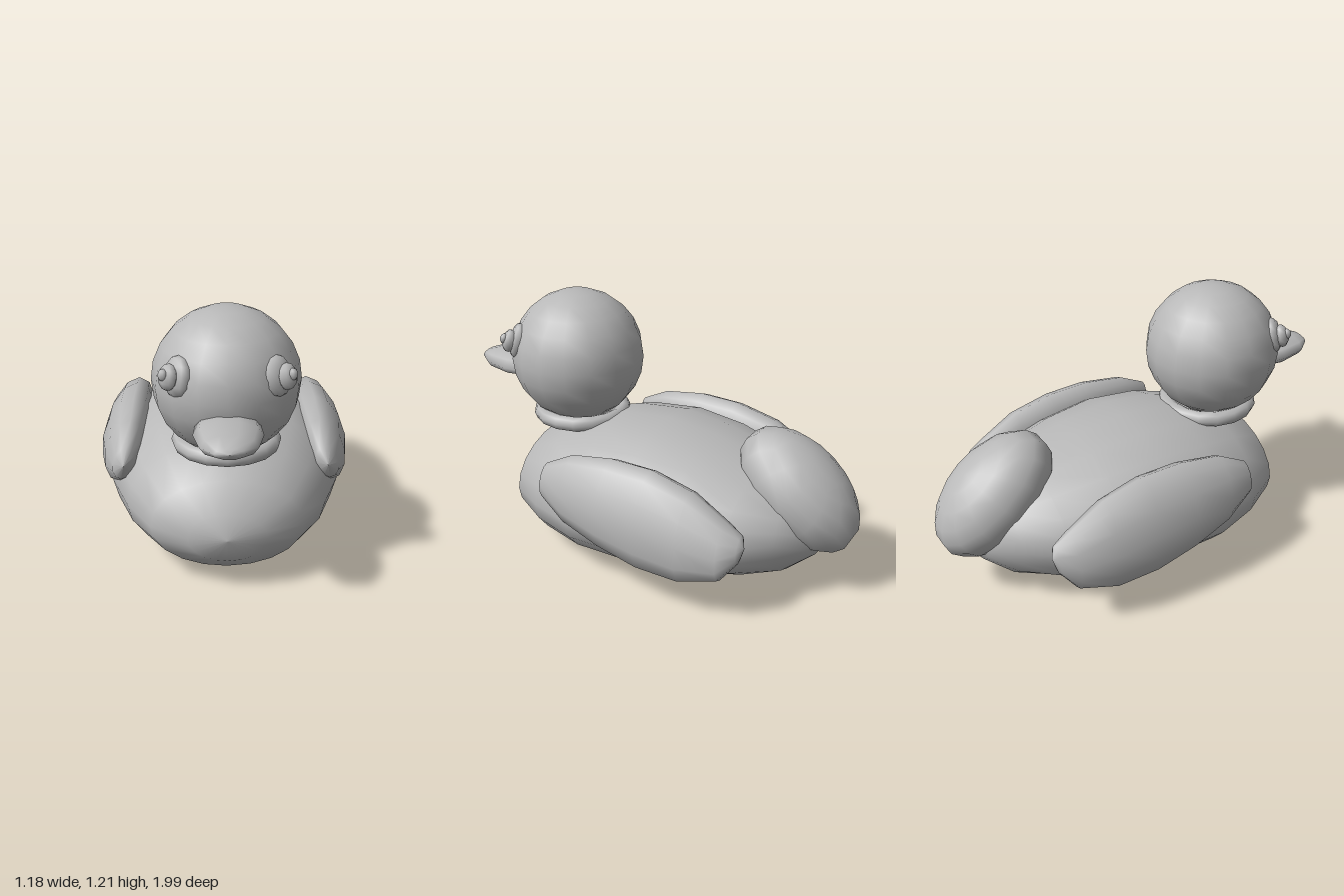
import * as THREE from 'three';

const grey = new THREE.MeshStandardMaterial({ color: 0xb8b8b8 });
grey.name = 'plain grey';

// Skins oval sections [z, halfWidth, yBottom, yMiddle, yTop, centreX], listed front to back.
function loft(rows, sides, side = 1, lean = 0) {
  const pos = [], idx = [];
  rows.forEach(([z, hx, y0, ym, y1, cx = 0], i) => {
    for (let j = 0; j < sides; j++) {
      const a = (j / sides) * Math.PI * 2, s = Math.sin(a);
      const dy = s * (s > 0 ? y1 - ym : ym - y0);
      pos.push(side * (cx + lean * dy) + Math.cos(a) * hx, ym + dy, z);
      if (i === rows.length - 1) continue;
      const p = i * sides + j, q = i * sides + ((j + 1) % sides);
      idx.push(p, p + sides, q, q, p + sides, q + sides);
    }
  });
  const g = new THREE.BufferGeometry();
  g.setAttribute('position', new THREE.Float32BufferAttribute(pos, 3));
  g.setIndex(idx);
  g.computeVertexNormals();
  return g;
}

function ellipsoid(rx, ry, rz, w = 14, h = 10) {
  return new THREE.SphereGeometry(1, w, h).scale(rx, ry, rz);
}

export function createModel() {
  const model = new THREE.Group();
  model.name = 'duck';

  const add = (name, geometry, x = 0, y = 0, z = 0) => {
    const mesh = new THREE.Mesh(geometry, grey);
    mesh.name = name;
    mesh.position.set(x, y, z);
    model.add(mesh);
    return mesh;
  };

  // Broad body with a flattened keel
  add('body', loft([
    [0.715, 0, 0.26, 0.26, 0.26],
    [0.69, 0.17, 0.15, 0.26, 0.37],
    [0.60, 0.33, 0.07, 0.27, 0.49],
    [0.42, 0.44, 0.015, 0.28, 0.58],
    [0.20, 0.52, 0, 0.29, 0.64],
    [-0.05, 0.535, 0.005, 0.30, 0.665],
    [-0.30, 0.50, 0.02, 0.30, 0.635],
    [-0.55, 0.41, 0.045, 0.31, 0.57],
    [-0.72, 0.29, 0.09, 0.32, 0.50],
    [-0.83, 0.15, 0.18, 0.29, 0.40],
    [-0.86, 0, 0.27, 0.27, 0.27],
  ], 20));

  // Upturned tail
  add('tail', ellipsoid(0.22, 0.2, 0.33), 0, 0.465, -0.717).rotation.x = -0.707;

  // Collar and head
  const collar = add('collar', new THREE.TorusGeometry(0.2, 0.037, 8, 16), 0, 0.608, 0.435);
  collar.rotation.x = Math.PI / 2;
  add('head', ellipsoid(0.316, 0.316, 0.316, 16, 12), 0, 0.89, 0.45);

  // Flat, blunt beak
  add('beak', loft([
    [1.0, 0, 0.80, 0.80, 0.80],
    [0.99, 0.06, 0.775, 0.80, 0.82],
    [0.92, 0.115, 0.745, 0.795, 0.845],
    [0.80, 0.14, 0.735, 0.79, 0.85],
    [0.68, 0.13, 0.745, 0.79, 0.85],
    [0.60, 0, 0.79, 0.79, 0.79],
  ], 10));

  for (const side of [1, -1]) {
    const label = side > 0 ? 'left' : 'right';

    // Long wing leaning in at the top
    add(label + 'Wing', loft([
      [0.37, 0, 0.44, 0.44, 0.44, 0.455],
      [0.34, 0.05, 0.365, 0.44, 0.52, 0.455],
      [0.20, 0.09, 0.28, 0.435, 0.59, 0.46],
      [0.00, 0.115, 0.22, 0.42, 0.62, 0.465],
      [-0.20, 0.118, 0.173, 0.395, 0.615, 0.465],
      [-0.40, 0.11, 0.165, 0.365, 0.565, 0.465],
      [-0.57, 0.08, 0.21, 0.335, 0.465, 0.455],
      [-0.64, 0.04, 0.30, 0.36, 0.425, 0.445],
      [-0.66, 0, 0.37, 0.37, 0.37, 0.44],
    ], 12, side, -0.2));

    // Eye pads, pupils and small glints facing out from the head
    const out = new THREE.Vector3(side * 0.21, 0.08, 0.22).normalize();
    const turn = new THREE.Quaternion().setFromUnitVectors(new THREE.Vector3(0, 0, 1), out);
    const eyeParts = [
      ['Eye', 0.07, 0.085, 0.04, 0.2, 0.98, 0.655],
      ['Pupil', 0.045, 0.055, 0.035, 0.235, 0.985, 0.675],
      ['Glint', 0.02, 0.025, 0.02, 0.255, 1.0, 0.69],
    ];
    for (const [part, rx, ry, rz, x, y, z] of eyeParts) {
      add(label + part, ellipsoid(rx, ry, rz, 8, 6), side * x, y, z).quaternion.copy(turn);
    }
  }
  return model;
}
